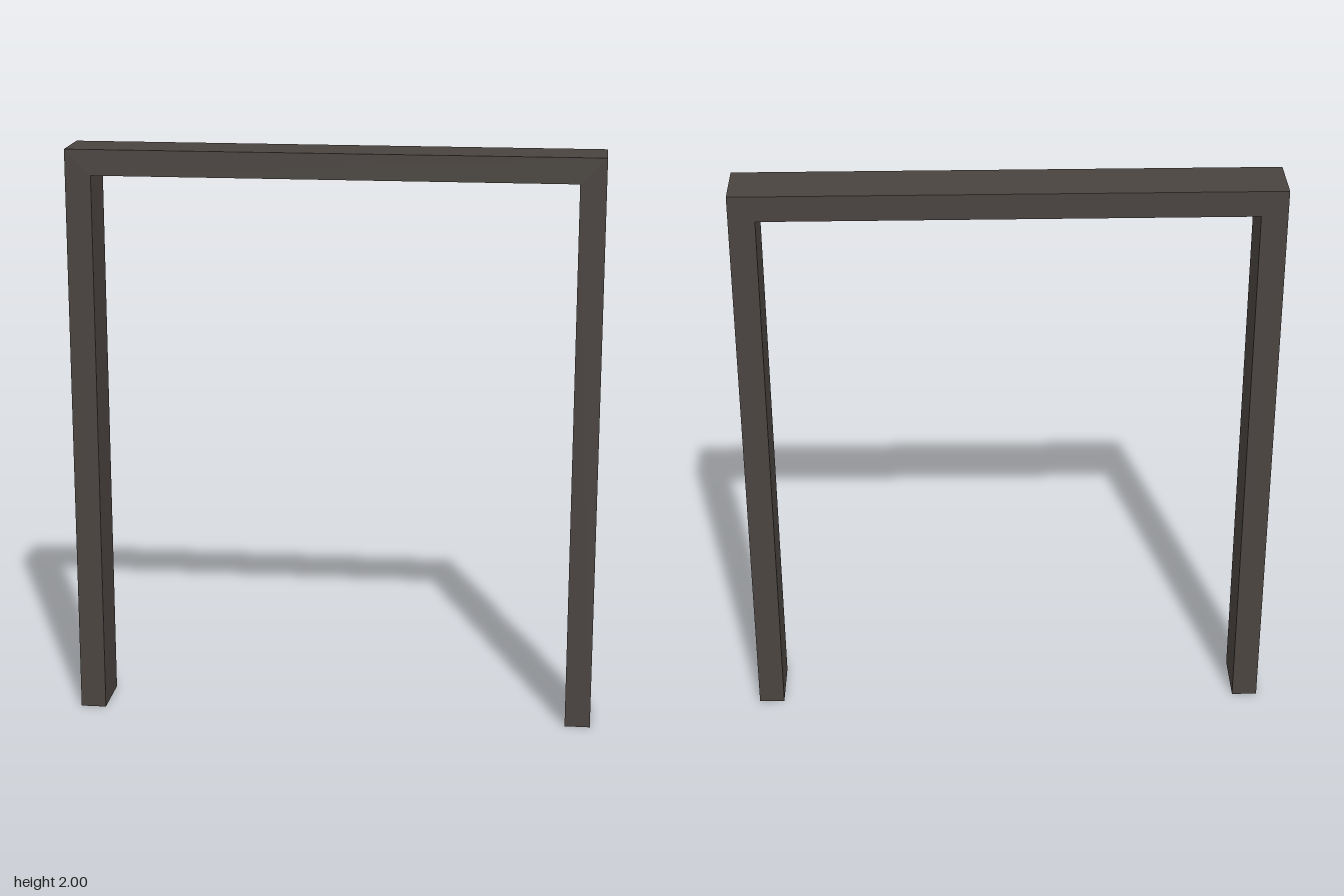
import * as THREE from 'three';

const HALF_WIDTH = 0.905, HEIGHT = 2, THICK = 0.088, DEPTH = 0.196;

export function createModel() {
  const group = new THREE.Group();
  group.name = 'doorFrame';
  const material = new THREE.MeshStandardMaterial({ color: 0x4a4440 });

  // Continuous frame: two jambs joined by a head, open at the floor
  const inner = HALF_WIDTH - THICK;
  const outline = new THREE.Shape([
    [-HALF_WIDTH, 0], [-inner, 0], [-inner, HEIGHT - THICK], [inner, HEIGHT - THICK],
    [inner, 0], [HALF_WIDTH, 0], [HALF_WIDTH, HEIGHT], [-HALF_WIDTH, HEIGHT],
  ].map(([x, y]) => new THREE.Vector2(x, y)));
  const geometry = new THREE.ExtrudeGeometry(outline, { depth: DEPTH, bevelEnabled: false });
  geometry.translate(0, 0, -DEPTH / 2);

  const frame = new THREE.Mesh(geometry, material);
  frame.name = 'jambsAndHead';
  group.add(frame);
  return group;
}
